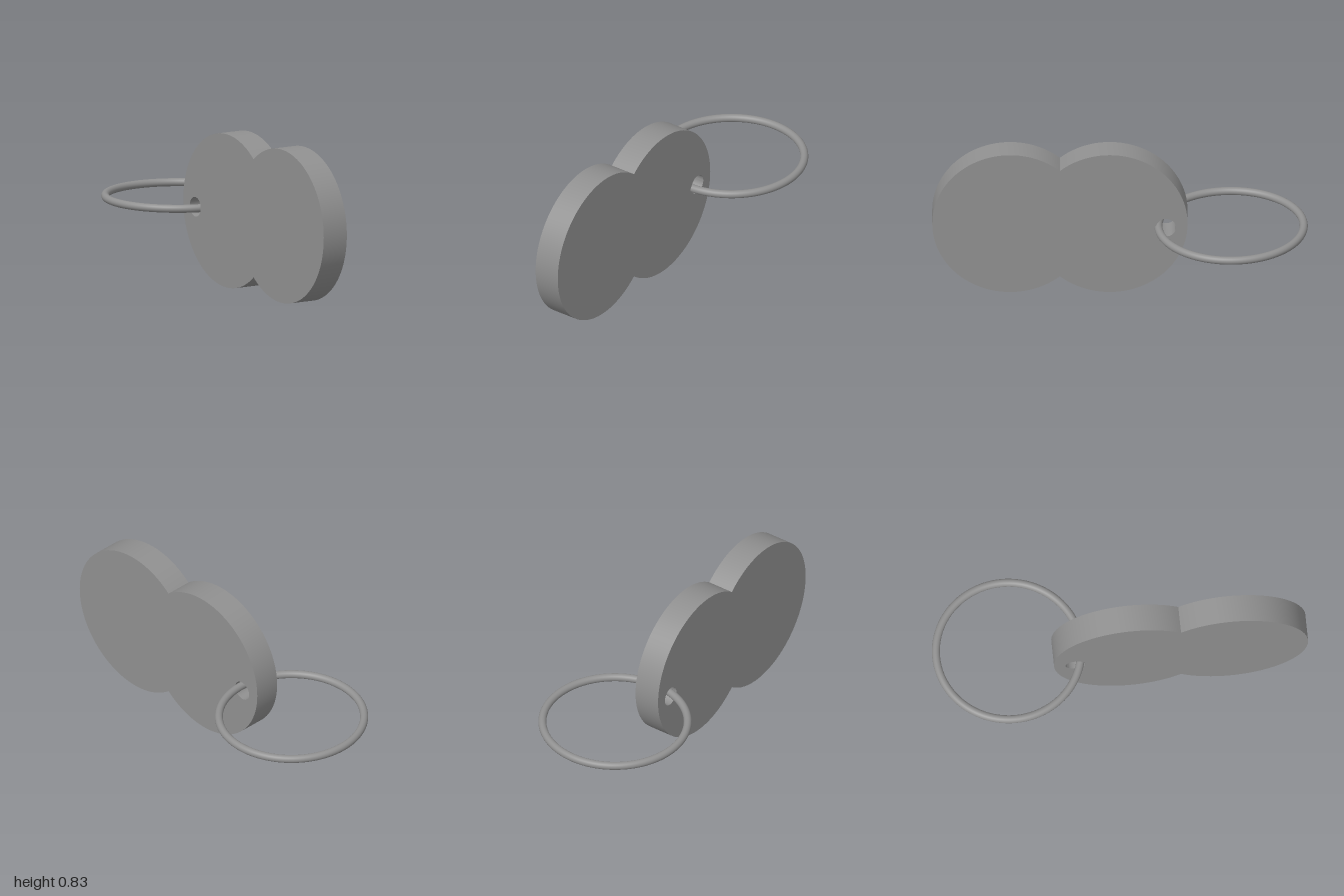
import * as THREE from 'three';
import { toCreasedNormals } from 'three/addons/utils/BufferGeometryUtils.js';

const RADIUS = 0.415;      // lobe radius
const FRONT = 0.585;       // lobe centres along z
const BACK = 0.055;
const THICKNESS = 0.147;

// Points of a counter-clockwise arc, leaving out the last one
function arcPoints(cx, cy, r, from, to, count) {
  return Array.from({ length: count }, (_, i) => {
    const a = from + (to - from) * i / count;
    return new THREE.Vector2(cx + r * Math.cos(a), cy + r * Math.sin(a));
  });
}

export function createModel() {
  const group = new THREE.Group();
  const grey = new THREE.MeshStandardMaterial({ color: 0x909090 });
  grey.name = 'grey';

  // Tag outline: two overlapping discs, with a hole near the back edge
  const a = Math.acos((FRONT - BACK) / 2 / RADIUS);
  const shape = new THREE.Shape([
    ...arcPoints(FRONT, RADIUS, RADIUS, a - Math.PI, Math.PI - a, 72),
    ...arcPoints(BACK, RADIUS, RADIUS, a, 2 * Math.PI - a, 72),
  ]);
  shape.holes.push(new THREE.Path(arcPoints(-0.245, 0.39, 0.053, 0, 2 * Math.PI, 40)));

  // Extrude sideways, so that the outline lies in the z-y plane
  const tagGeometry = new THREE.ExtrudeGeometry(shape, { depth: THICKNESS, bevelEnabled: false });
  tagGeometry.translate(0, 0, -THICKNESS / 2).rotateY(-Math.PI / 2);
  const tag = new THREE.Mesh(toCreasedNormals(tagGeometry, 0.6), grey);
  tag.name = 'tag';
  tag.position.x = -0.033;
  tag.rotation.y = 0.0176;
  group.add(tag);

  // Flat-lying ring threaded through the hole
  const ring = new THREE.Mesh(new THREE.TorusGeometry(0.387, 0.0215, 24, 128), grey);
  ring.name = 'keyRing';
  ring.rotation.x = Math.PI / 2;
  ring.position.set(0, 0.385, -0.592);
  group.add(ring);

  return group;
}
